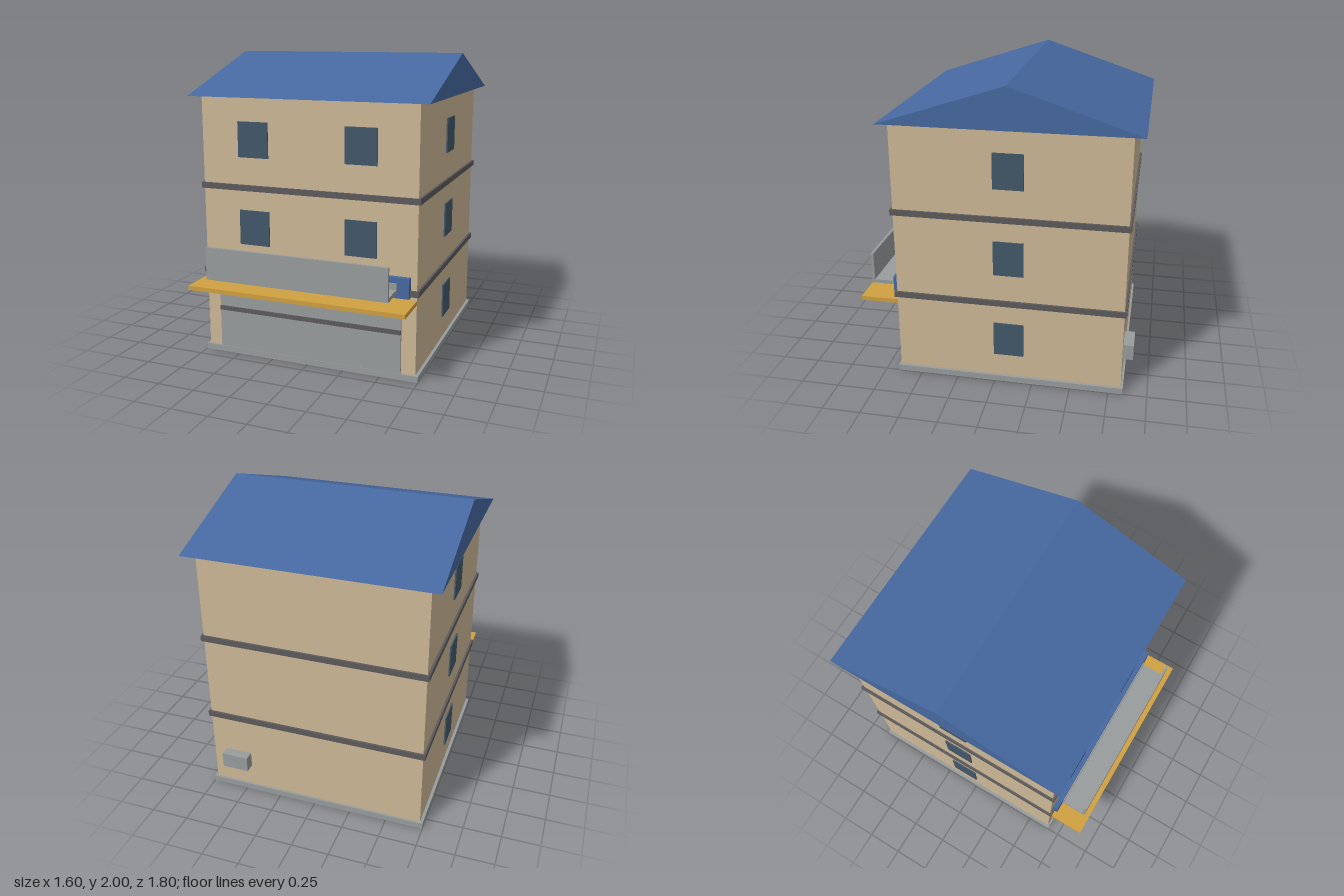
import * as THREE from 'three';

const mat = (name, color) => {
  const m = new THREE.MeshStandardMaterial({ color });
  m.name = name;
  return m;
};

export function createModel() {
  const wall = mat('tan wall', 0xcdb896);
  const concrete = mat('concrete grey', 0x989c9c);
  const trim = mat('dark trim', 0x5d5a5c);
  const glass = mat('window glass', 0x425869);
  const blue = mat('blue', 0x4668a0);
  const gold = mat('gold', 0xd0a040);
  const underside = mat('magenta underside', 0xdc0cdc);

  const model = new THREE.Group();
  model.name = 'building';

  // Box given by its extents on each axis
  const box = (name, material, [x0, x1], [y0, y1], [z0, z1]) => {
    const mesh = new THREE.Mesh(new THREE.BoxGeometry(x1 - x0, y1 - y0, z1 - z0), material);
    mesh.position.set((x0 + x1) / 2, (y0 + y1) / 2, (z0 + z1) / 2);
    mesh.name = name;
    model.add(mesh);
    return mesh;
  };

  // Plinth, with a coloured bottom face, and walls
  box('plinth', [concrete, concrete, concrete, underside, concrete, concrete],
    [-0.75, 0.75], [0, 0.04], [-0.845, 0.665]);
  box('walls', wall, [-0.73, 0.73], [0.04, 1.738], [-0.83, 0.65]);

  // Floor bands
  for (const y of [0.555, 1.132]) {
    box('floorBand', trim, [-0.745, 0.745], [y, y + 0.038], [-0.845, 0.665]);
  }

  // Gable roof, ridge running along x
  const profile = new THREE.Shape([
    new THREE.Vector2(-0.71, 1.735),
    new THREE.Vector2(0.9, 1.735),
    new THREE.Vector2(0.095, 2),
  ]);
  const roofGeometry = new THREE.ExtrudeGeometry(profile, { depth: 1.6, bevelEnabled: false });
  roofGeometry.rotateY(Math.PI / 2).translate(-0.8, 0, 0);
  const roof = new THREE.Mesh(roofGeometry, blue);
  roof.name = 'roof';
  model.add(roof);

  // Windows: three rows on the sides, two on the front
  [0.197, 0.773, 1.35].forEach((y, row) => {
    const rows = [y, y + 0.23];
    for (const side of [-1, 1]) {
      const x = side * 0.735;
      box('sideWindow', glass, [x - 0.0049, x + 0.0049], rows, [-0.19, 0.005]);
      if (row > 0) {
        const c = side * 0.365;
        box('frontWindow', glass, [c - 0.105, c + 0.105], rows, [0.6505, 0.66]);
      }
    }
  });

  // Shop shutter with its rail
  box('shutter', concrete, [-0.635, 0.635], [0.03, 0.475], [0.65, 0.662]);
  box('shutterRail', trim, [-0.635, 0.635], [0.3, 0.33], [0.661, 0.669]);

  // Awning and sign board
  box('awning', gold, [-0.73, 0.73], [0.502, 0.53], [0.65, 0.9]);
  box('signBoard', blue, [-0.69, 0.69], [0.545, 0.675], [0.65, 0.686]);

  // Balcony: floor, tall front panel and low back lip
  box('balconyFloor', concrete, [-0.613, 0.613], [0.575, 0.6], [0.686, 0.846]);
  box('balconyFront', concrete, [-0.613, 0.613], [0.575, 0.79], [0.846, 0.865]);
  box('balconyLip', concrete, [-0.613, 0.613], [0.6, 0.64], [0.686, 0.695]);

  // Air conditioner on the back wall
  box('airConditioner', concrete, [0.46, 0.64], [0.195, 0.3], [-0.897, -0.83]);

  return model;
}
